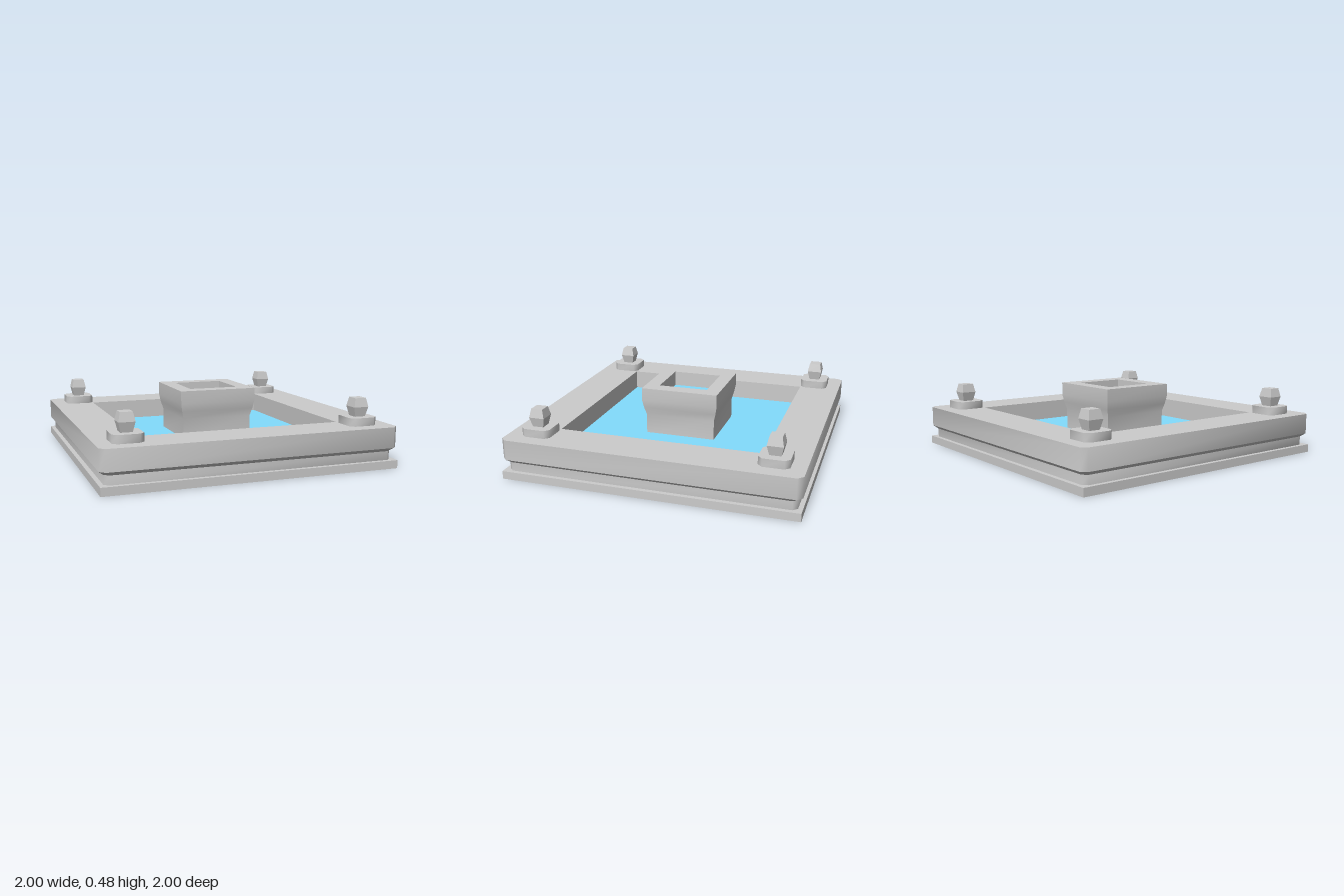
import * as THREE from 'three';
import { mergeGeometries, toCreasedNormals } from 'three/addons/utils/BufferGeometryUtils.js';

const stone = new THREE.MeshStandardMaterial({ color: 0xcccccc });
const water = new THREE.MeshStandardMaterial({ color: 0x82dcfe });

// Square outline with half width h, height y and corner cut c
function ring([h, y, c = 0]) {
  const k = h - c;
  return [[h, -k], [h, k], [k, h], [-k, h], [-h, k], [-h, -k], [-k, -h], [k, -h]]
    .map(([x, z]) => new THREE.Vector3(x, y, z));
}

// Joins two outlines with a band of faces, leaving out empty triangles
function band(lower, upper) {
  const a = ring(lower), b = ring(upper), pts = [];
  const tri = (p, q, r) => {
    if (new THREE.Triangle(p, q, r).getArea() > 1e-8) pts.push(p, q, r);
  };
  for (let i = 0; i < 8; i++) {
    const j = (i + 1) % 8;
    tri(a[i], b[i], a[j]);
    tri(a[j], b[i], b[j]);
  }
  return new THREE.BufferGeometry().setFromPoints(pts);
}

// Stacks bands along a profile; smooth profiles share normals between bands
function loft(name, profile, material = stone, smooth = false) {
  const bands = profile.slice(1).map((p, i) => band(profile[i], p));
  const geo = smooth
    ? toCreasedNormals(mergeGeometries(bands), 0.9)
    : mergeGeometries(bands.map((b) => toCreasedNormals(b, 0.9)));
  const mesh = new THREE.Mesh(geo, material);
  mesh.name = name;
  return mesh;
}

export function createModel() {
  const model = new THREE.Group();
  model.name = 'fountain';

  // Base slab with its hollow underside
  model.add(loft('baseSlab', [
    [0, 0.36], [0.247, 0.36], [0.247, 0], [1, 0], [1, 0.055], [0.95, 0.055],
  ]));

  // Recessed neck, bevel, rim and inner wall of the pool
  model.add(loft('poolRim', [
    [0.97, 0.055, 0.03], [0.97, 0.115, 0.03], [1, 0.14, 0.035], [1, 0.28, 0.035],
    [0.7, 0.28], [0.7, 0.13],
  ]));
  model.add(loft('poolWater', [[0.7, 0.14], [0.25, 0.14]], water));

  // Flared pedestal with a small basin in the top
  model.add(loft('pedestal', [
    [0.25, 0.13], [0.25, 0.28], [0.265, 0.335], [0.275, 0.39], [0.275, 0.48],
    [0.175, 0.48], [0.175, 0.37],
  ], stone, true));
  model.add(loft('basinWater', [[0.175, 0.375], [0, 0.375]], water));

  // Corner posts: a pad with a faceted knob
  for (const x of [-0.8, 0.8]) {
    for (const z of [-0.8, 0.8]) {
      const post = new THREE.Group();
      post.name = 'cornerPost';
      post.add(
        loft('pad', [[0.1, 0.28, 0.03], [0.1, 0.335, 0.03], [0, 0.335]]),
        loft('knob', [[0.038, 0.335], [0.053, 0.4], [0.04, 0.46], [0, 0.46]]),
      );
      post.position.set(x, 0, z);
      model.add(post);
    }
  }
  return model;
}
